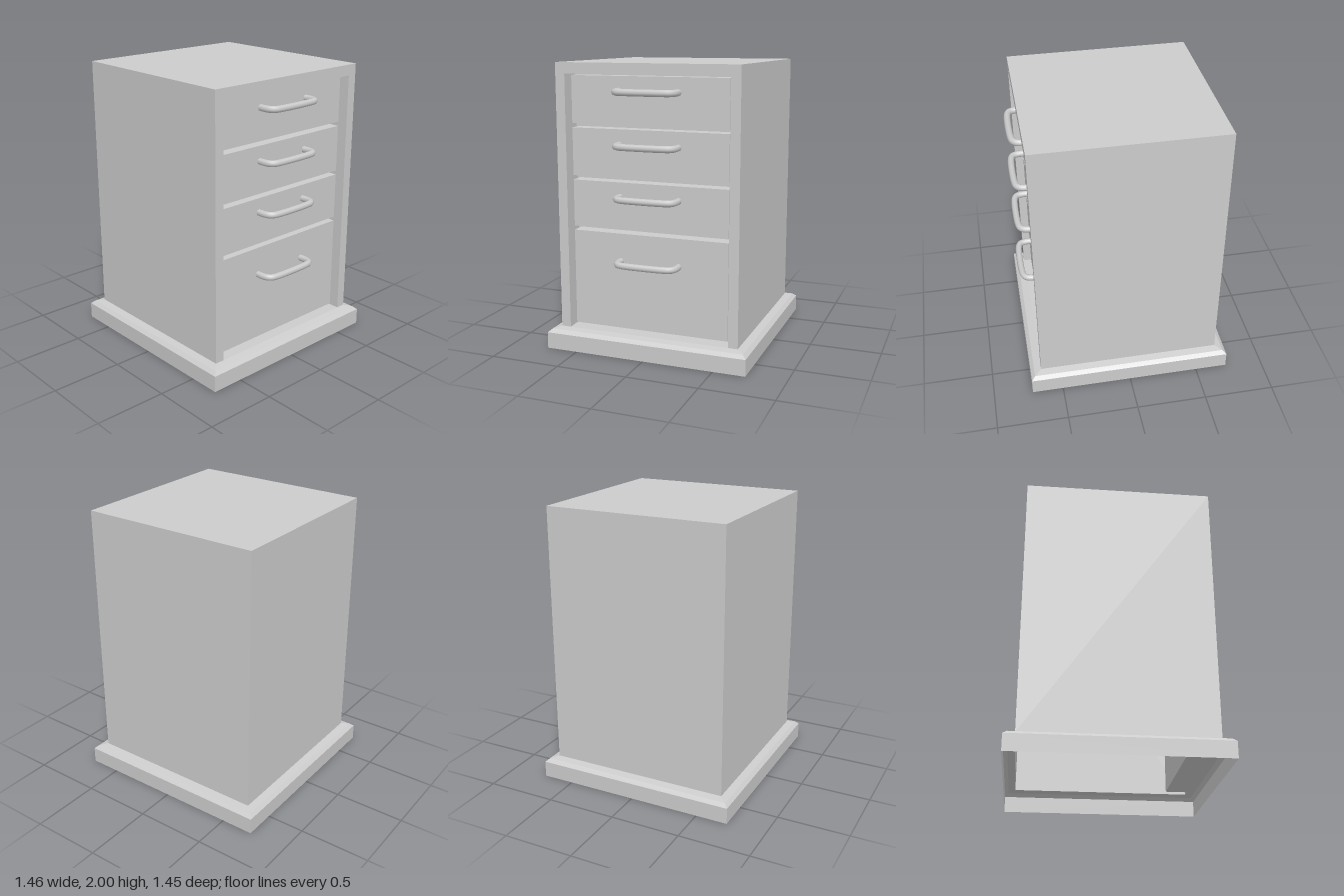
import * as THREE from 'three';

const CX = -0.004;          // cabinet centre on x, handles stick out on +x
const HALF = 0.65;          // half width of the case
const FRONT = CX + HALF;    // drawer side of the case
const BACK = CX - HALF;
const FLOOR = 0.15, TOP = 2;
const OPEN_Z = 0.582, OPEN_TOP = 1.925;   // drawer opening
const DRAWER_X = 0.588, RECESS_X = 0.485; // drawer faces, back of the recess

const shell = new THREE.MeshStandardMaterial({ color: 0xcccccc, flatShading: true, side: THREE.DoubleSide });
const smooth = new THREE.MeshStandardMaterial({ color: 0xcccccc });

function add(parent, name, geometry, material = shell) {
  const mesh = new THREE.Mesh(geometry, material);
  mesh.name = name;
  parent.add(mesh);
  return mesh;
}

// flat panel from four corners, counter-clockwise seen from its front
function panel(a, b, c, d) {
  const g = new THREE.BufferGeometry();
  g.setAttribute('position', new THREE.Float32BufferAttribute([...a, ...b, ...c, ...d], 3));
  g.setIndex([0, 1, 2, 0, 2, 3]);
  g.computeVertexNormals();
  return g;
}

function createCase() {
  const g = new THREE.Group();
  g.name = 'case';
  const H = HALF;
  add(g, 'topPanel', panel([BACK, TOP, H], [FRONT, TOP, H], [FRONT, TOP, -H], [BACK, TOP, -H]));
  add(g, 'backPanel', panel([BACK, FLOOR, -H], [BACK, FLOOR, H], [BACK, TOP, H], [BACK, TOP, -H]));
  add(g, 'sidePanelFront', panel([BACK, FLOOR, H], [FRONT, FLOOR, H], [FRONT, TOP, H], [BACK, TOP, H]));
  add(g, 'sidePanelRear', panel([FRONT, FLOOR, -H], [BACK, FLOOR, -H], [BACK, TOP, -H], [FRONT, TOP, -H]));

  // face frame around the drawers, open at the foot
  const frame = new THREE.Shape([
    [-H, FLOOR], [-OPEN_Z, FLOOR], [-OPEN_Z, OPEN_TOP], [OPEN_Z, OPEN_TOP],
    [OPEN_Z, FLOOR], [H, FLOOR], [H, TOP], [-H, TOP],
  ].map(([x, y]) => new THREE.Vector2(x, y)));
  const frameGeo = new THREE.ShapeGeometry(frame);
  frameGeo.rotateY(Math.PI / 2).translate(FRONT, 0, 0);
  add(g, 'faceFrame', frameGeo);

  // recess that holds the drawers
  const F = FRONT, R = RECESS_X, Z = OPEN_Z, T = OPEN_TOP, B = FLOOR;
  add(g, 'recessBack', panel([R, B, Z], [R, B, -Z], [R, T, -Z], [R, T, Z]));
  add(g, 'recessCeiling', panel([R, T, -Z], [F, T, -Z], [F, T, Z], [R, T, Z]));
  add(g, 'recessFloor', panel([R, B, Z], [F, B, Z], [F, B, -Z], [R, B, -Z]));
  add(g, 'recessJambFront', panel([F, B, Z], [R, B, Z], [R, T, Z], [F, T, Z]));
  add(g, 'recessJambRear', panel([R, B, -Z], [F, B, -Z], [F, T, -Z], [R, T, -Z]));
  return g;
}

// hollow square plinth with a bevelled upper edge
function createPlinth() {
  const profile = [[0.726, 0], [0.726, 0.115], [0.7, 0.138], [HALF, FLOOR]]
    .map(([r, y]) => new THREE.Vector2(r * Math.SQRT2, y));
  return new THREE.LatheGeometry(profile, 4, Math.PI / 4).translate(CX, 0, 0);
}

// bow handle: two legs bending into a straight bar
function createHandle() {
  const half = [[DRAWER_X - 0.01, 0.211], [0.635, 0.211], [0.67, 0.202], [0.69, 0.182], [0.7, 0.135]];
  const ends = half.map(([x, z]) => new THREE.Vector3(x, 0, z));
  const others = half.map(([x, z]) => new THREE.Vector3(x, 0, -z)).reverse();
  const path = new THREE.CatmullRomCurve3([...ends, ...others], false, 'centripetal');
  return new THREE.TubeGeometry(path, 48, 0.023, 8, false);
}

export function createModel() {
  const model = new THREE.Group();
  model.name = 'drawerCabinet';
  model.add(createCase());
  add(model, 'plinth', createPlinth());

  // bottom, top and handle height of each drawer
  const drawers = [[0.17, 0.845, 0.65], [0.875, 1.2, 1.1], [1.23, 1.56, 1.455], [1.59, 1.913, 1.813]];
  const handleGeo = createHandle();
  for (const [y0, y1, handleY] of drawers) {
    const drawer = new THREE.Group();
    drawer.name = 'drawer';
    const box = new THREE.BoxGeometry(DRAWER_X - RECESS_X, y1 - y0, 1.122);
    box.translate((DRAWER_X + RECESS_X) / 2, (y0 + y1) / 2, 0);
    add(drawer, 'drawerFront', box);
    add(drawer, 'handle', handleGeo, smooth).position.y = handleY;
    model.add(drawer);
  }
  return model;
}
